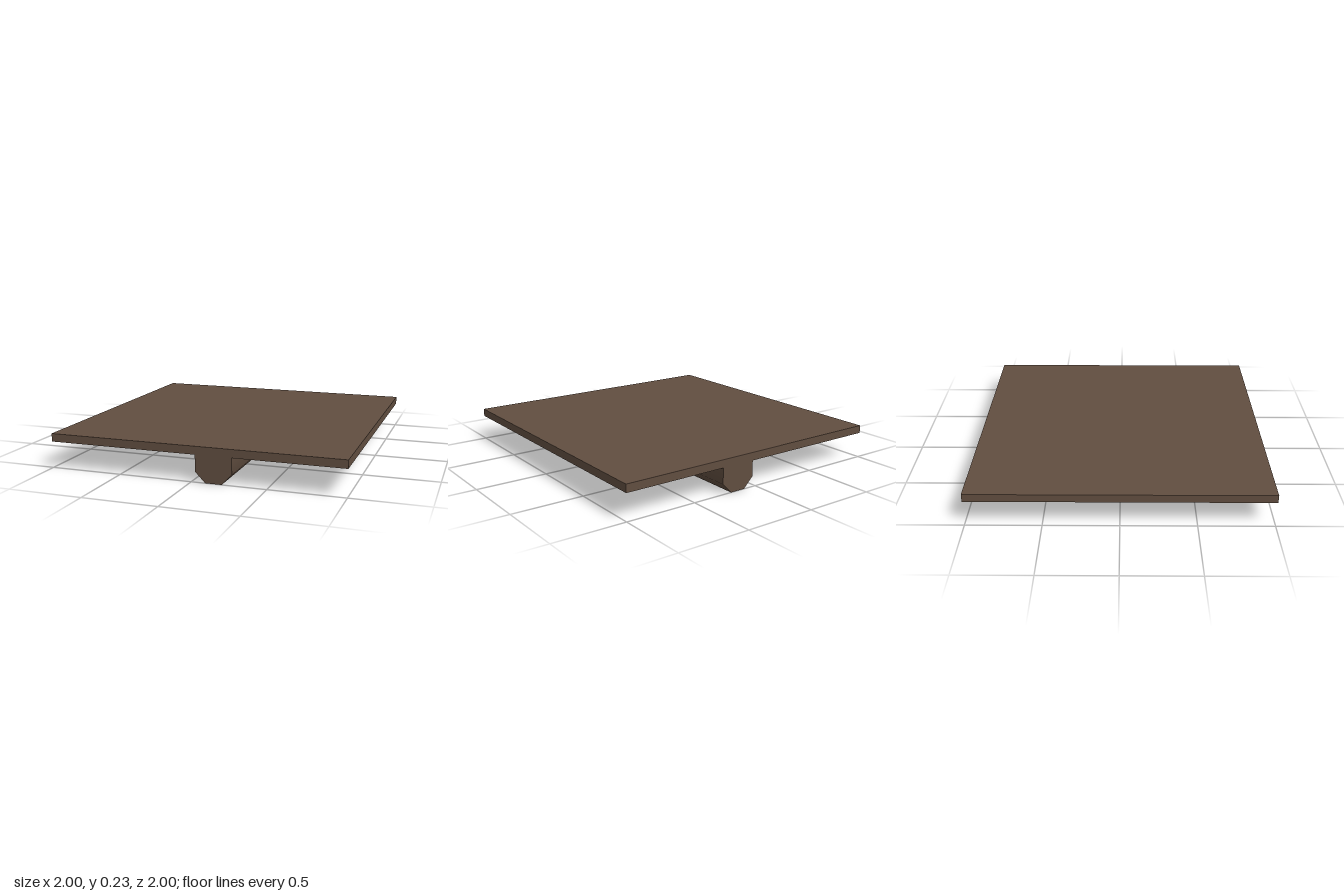
import * as THREE from 'three';
import { toCreasedNormals } from 'three/addons/utils/BufferGeometryUtils.js';

export function createModel() {
  const model = new THREE.Group();
  model.name = 'floorPanel';

  const wood = new THREE.MeshStandardMaterial({ color: 0x614e40 });
  wood.name = 'dark brown wood';

  const bottom = 0.18, top = 0.235, length = 2;

  // Flat square deck
  const deck = new THREE.Mesh(new THREE.BoxGeometry(2, top - bottom, length), wood);
  deck.name = 'deck';
  deck.position.y = (top + bottom) / 2;
  model.add(deck);

  // Off-centre support beam with softened lower edges, mirrored about its own middle
  const half = 0.123, foot = 0.055, chamfer = 0.07;
  const side = [[foot, 0], [half, chamfer], [half, bottom]];
  const outline = [...side, ...side.map(([x, y]) => [-x, y]).reverse()];
  const profile = new THREE.Shape(outline.map(([x, y]) => new THREE.Vector2(x, y)));
  const beamGeometry = new THREE.ExtrudeGeometry(profile, { depth: length, bevelEnabled: false });
  beamGeometry.translate(0, 0, -length / 2);
  const beam = new THREE.Mesh(toCreasedNormals(beamGeometry, Math.PI / 3), wood);
  beam.name = 'supportBeam';
  beam.position.x = 0.15;
  model.add(beam);

  return model;
}
